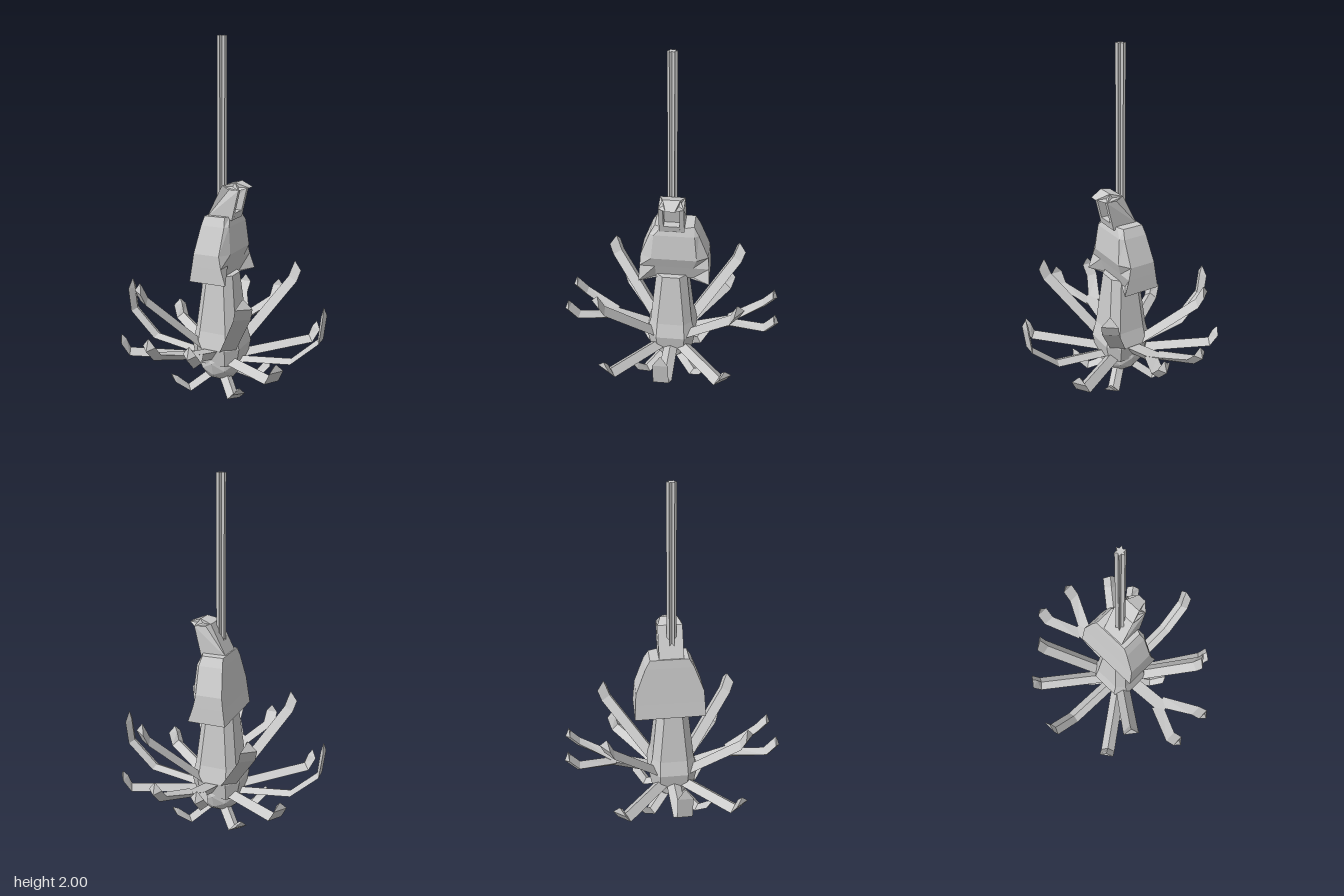
import * as THREE from 'three';

const V = (x, y, z) => new THREE.Vector3(x, y, z);
const mat = new THREE.MeshStandardMaterial({ color: 0xcccccc, flatShading: true, side: THREE.DoubleSide });

function mesh(name, geo) {
  const m = new THREE.Mesh(geo, mat);
  m.name = name;
  return m;
}

// Closed skin over matching loops, each counterclockwise about the path.
function loft(loops) {
  const pos = [];
  const tri = (...ps) => ps.forEach(p => pos.push(p.x, p.y, p.z));
  const n = loops[0].length;
  for (let k = 0; k < loops.length - 1; k++) {
    const p = loops[k], q = loops[k + 1];
    for (let i = 0; i < n; i++) {
      const j = (i + 1) % n;
      tri(p[i], p[j], q[j]);
      tri(p[i], q[j], q[i]);
    }
  }
  const cap = (l, flip) => {
    const c = l.reduce((s, p) => s.add(p), V(0, 0, 0)).divideScalar(n);
    l.forEach((p, i) => {
      const q = l[(i + 1) % n];
      flip ? tri(c, q, p) : tri(c, p, q);
    });
  };
  cap(loops[0], true);
  cap(loops[loops.length - 1], false);
  const g = new THREE.BufferGeometry();
  g.setAttribute('position', new THREE.Float32BufferAttribute(pos, 3));
  g.computeVertexNormals();
  return g;
}

// Three-sided blade along a path; h lifts (or drops) the ridge, the last point is the tip.
function blade(path, sides, w, h) {
  const loops = path.map((p, i) => {
    const t = path[Math.min(i + 1, path.length - 1)].clone().sub(path[Math.max(i - 1, 0)]).normalize();
    const s = sides[Math.min(i, sides.length - 1)];
    const k = i === path.length - 1 ? 0.08 : 1;
    const up = s.clone().cross(t).normalize();
    const a = p.clone().addScaledVector(s, -w * k);
    const b = p.clone().addScaledVector(s, w * k);
    const c = p.clone().addScaledVector(up, h * k);
    return h > 0 ? [a, c, b] : [a, b, c];
  });
  return loft(loops);
}

// Blade running outwards in +x, profile given as [radius, height].
const leaf = (profile, w, h) => blade(profile.map(([r, y]) => V(r, y, 0)), [V(0, 0, 1)], w, h);

function ring(group, name, geo, degrees) {
  for (const d of degrees) {
    const m = mesh(name, geo);
    m.rotation.y = THREE.MathUtils.degToRad(d);
    group.add(m);
  }
}
const four = d => [d, -d, 180 - d, 180 + d];

export function createModel() {
  const g = new THREE.Group();
  g.name = 'hangingFigure';

  // Rope with star section
  const star = new THREE.Shape();
  for (let i = 0; i < 12; i++) {
    const a = i * Math.PI / 6, r = i % 2 ? 0.027 : 0.015;
    star[i ? 'lineTo' : 'moveTo'](Math.cos(a) * r, Math.sin(a) * r);
  }
  const rope = mesh('rope', new THREE.ExtrudeGeometry(star, { depth: 1.0, bevelEnabled: false }));
  rope.rotation.x = -Math.PI / 2;
  rope.position.y = 1.0;
  g.add(rope);

  // Tapered lower body with chamfered corners: [y, half width, half flat]
  const column = [[0.17, 0.13, 0.08], [0.27, 0.148, 0.085], [0.36, 0.125, 0.08], [0.69, 0.09, 0.05]];
  g.add(mesh('lowerBody', loft(column.map(([y, a, b]) => [
    [a, -b], [b, -a], [-b, -a], [-a, -b], [-a, b], [-b, a], [b, a], [a, b],
  ].map(([x, z]) => V(x, y, z))))));

  // Faceted bulb underneath
  const bulb = mesh('bulb', new THREE.IcosahedronGeometry(0.14, 1));
  bulb.position.y = 0.175;
  g.add(bulb);

  // Mantle: [y, back x, back z, arm x, arm z, chest x, chest z]
  const mantle = [
    [0.67, -0.11, 0.205, 0.11, 0.205, 0.05, 0.11],
    [0.76, -0.097, 0.2, 0.08, 0.2, 0.08, 0.11],
    [0.83, -0.088, 0.195, 0.065, 0.195, 0.105, 0.13],
    [0.98, -0.07, 0.138, 0.07, 0.138, 0.09, 0.115],
    [1.03, -0.062, 0.11, 0.06, 0.11, 0.075, 0.07],
  ];
  const robe = mesh('mantle', loft(mantle.map(([y, xb, zb, xf, zf, xc, zc]) => [
    [xc, -zc], [xf, -zf], [xb, -zb], [xb, zb], [xf, zf], [xc, zc],
  ].map(([x, z]) => V(x, y, z)))));
  robe.position.z = -0.017;
  g.add(robe);

  // Hood with a recessed face, narrowing to the peak of the visor
  const hood = new THREE.Group();
  hood.name = 'hood';
  const slab = (name, pts, z0, z1) => {
    const shape = new THREE.Shape(pts.map(p => new THREE.Vector2(...p)));
    const geo = new THREE.ExtrudeGeometry(shape, { depth: z1 - z0, bevelEnabled: false });
    geo.translate(0, 0, z0);
    const p = geo.attributes.position;
    for (let i = 0; i < p.count; i++) {
      const x = p.getX(i);
      if (p.getY(i) > 1.185) p.setZ(i, p.getZ(i) * THREE.MathUtils.mapLinear(x, 0.03, 0.175, 1, 0.35));
    }
    geo.computeVertexNormals();
    hood.add(mesh(name, geo));
  };
  const side = [[-0.06, 1.02], [0.09, 1.01], [0.13, 1.18], [0.1, 1.22], [0.03, 1.2]];
  slab('hoodSide', side, 0.045, 0.07);
  slab('hoodSide', side, -0.07, -0.045);
  slab('hoodBack', [[-0.06, 1.02], [0.045, 1.02], [0.08, 1.18], [0.1, 1.22], [0.03, 1.2]], -0.045, 0.045);
  slab('chin', [[0.04, 1.01], [0.09, 1.01], [0.1, 1.05], [0.05, 1.05]], -0.045, 0.045);
  slab('visor', [[0.03, 1.2], [0.07, 1.18], [0.13, 1.18], [0.175, 1.192], [0.1, 1.22]], -0.07, 0.07);
  hood.position.z = -0.005;
  g.add(hood);

  // Side leaves
  ring(g, 'sideLeaf', leaf([[0.11, 0.175], [0.44, 0.22], [0.6, 0.37], [0.617, 0.51], [0.61, 0.567]], 0.042, 0.022), [0, 180]);

  // Low and high diagonal leaves
  ring(g, 'lowLeaf', leaf([[0.1, 0.175], [0.54, 0.235], [0.585, 0.31], [0.58, 0.35]], 0.043, 0.035), four(36));
  ring(g, 'highLeaf', leaf([[0.1, 0.215], [0.48, 0.575], [0.51, 0.64], [0.495, 0.69]], 0.046, 0.04), four(52));

  // Short curled roots under the bulb
  ring(g, 'root', leaf([[0.05, 0.085], [0.205, 0.0], [0.295, 0.07], [0.31, 0.108]], 0.036, 0.03), four(46));

  // Forked branches in front and behind
  for (const d of [1, -1]) {
    const fork = new THREE.Group();
    fork.name = d > 0 ? 'frontFork' : 'backFork';
    fork.add(mesh('forkStem', blade([V(0, 0.25, 0.1), V(0, 0.325, 0.345), V(0, 0.34, 0.405)], [V(-1, 0, 0)], 0.04, -0.055)));
    for (const s of [1, -1]) {
      const perp = V(-0.87, 0, s * 0.48);
      fork.add(mesh('forkBranch', blade(
        [V(s * 0.02, 0.325, 0.355), V(s * 0.117, 0.385, 0.555), V(s * 0.117, 0.445, 0.61), V(s * 0.117, 0.487, 0.615)],
        [perp, V(-1, 0, 0)], 0.037, -0.035)));
    }
    fork.rotation.y = d > 0 ? 0 : Math.PI;
    g.add(fork);
  }
  return g;
}
